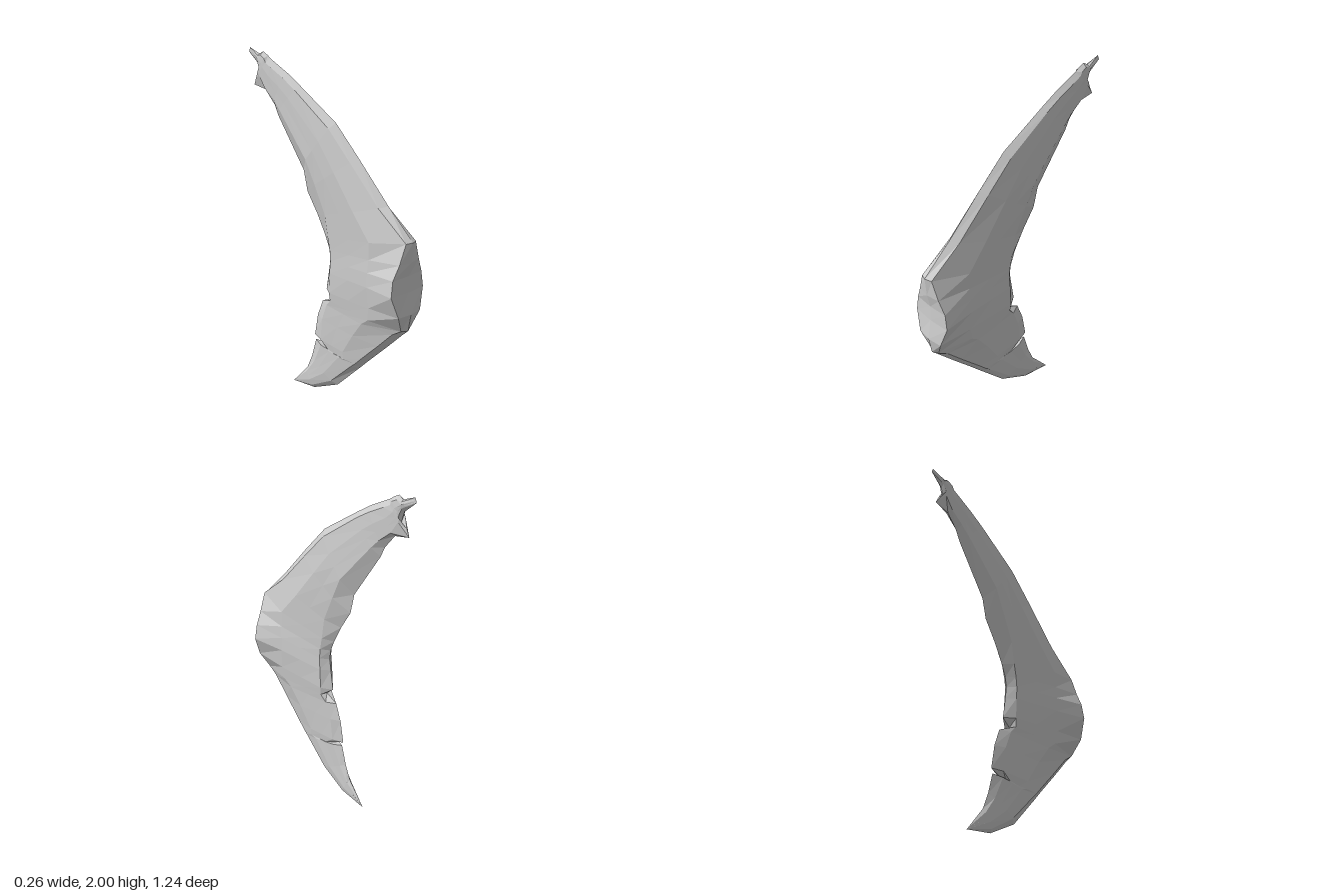
import * as THREE from 'three';

const material = new THREE.MeshStandardMaterial({ color: 0xcccccc, flatShading: true });

// Each section: outer z, outer y, inner z, inner y, rim inset, inner bevel depth,
// then half-widths at the rim, the middle and the inner bevel.
const upper = [
  [-0.61, 2.0, -0.62, 1.975, 0, 0, 0, 0, 0],
  [-0.53, 1.97, -0.54, 1.91, 0.01, 0.02, 0.015, 0.02, 0.015],
  [-0.5, 1.985, -0.52, 1.85, 0.02, 0.03, 0.02, 0.024, 0.02],
  [-0.46, 1.965, -0.56, 1.83, 0.02, 0.06, 0.022, 0.025, 0.022],
  [-0.44, 1.95, -0.58, 1.79, 0.03, 0.09, 0.022, 0.026, 0.022],
  [-0.4, 1.93, -0.48, 1.77, 0.03, 0.02, 0.024, 0.027, 0.024],
  [-0.3, 1.88, -0.41, 1.69, 0.03, 0.04, 0.025, 0.03, 0.027],
  [-0.2, 1.82, -0.38, 1.63, 0.03, 0.06, 0.027, 0.033, 0.032],
  [0.07, 1.65, -0.18, 1.35, 0.04, 0.1, 0.033, 0.046, 0.05],
  [0.24, 1.48, -0.15, 1.23, 0.04, 0.12, 0.036, 0.056, 0.046],
  [0.45, 1.26, -0.07, 1.11, 0.04, 0.1, 0.038, 0.068, 0.043],
  [0.62, 1.1, -0.01, 1.0, 0.015, 0.06, 0.04, 0.078, 0.042],
];
const middle = [
  upper[upper.length - 1],
  [0.612, 0.99, 0.02, 0.93, 0.015, 0.045, 0.08, 0.079, 0.042],
  [0.595, 0.91, 0.03, 0.87, 0.008, 0.04, 0.118, 0.085, 0.043],
  [0.6, 0.82, 0.02, 0.8, 0.01, 0.045, 0.132, 0.088, 0.045],
  [0.62, 0.7, 0.0, 0.68, 0.012, 0.06, 0.09, 0.08, 0.044],
  [0.603, 0.6, 0.055, 0.635, 0.02, 0.01, 0.035, 0.072, 0.04],
];
const lower = [
  middle[middle.length - 1],
  [0.56, 0.56, -0.03, 0.6, 0.04, 0.06, 0.034, 0.064, 0.032],
  [0.46, 0.46, -0.07, 0.5, 0.04, 0.06, 0.032, 0.052, 0.028],
  [0.33, 0.335, -0.095, 0.365, 0.04, 0.07, 0.03, 0.04, 0.025],
  [0.29, 0.295, 0.03, 0.312, 0.04, 0.01, 0.029, 0.036, 0.025],
  [0.26, 0.265, -0.085, 0.338, 0.04, 0.06, 0.028, 0.034, 0.023],
  [0.09, 0.1, -0.12, 0.22, 0.04, 0.04, 0.022, 0.028, 0.018],
  [-0.1, 0.015, -0.16, 0.13, 0.02, 0.02, 0.015, 0.021, 0.015],
  [-0.28, 0, -0.275, 0.004, 0, 0, 0, 0, 0],
];

// Mirrored ten-sided ring running from the outer ridge to the inner ridge and back
function ring([oz, oy, iz, iy, inset, bevel, rim, mid, inner]) {
  const length = Math.hypot(oz - iz, oy - iy);
  const t0 = inset / length, t1 = 1 - bevel / length;
  const stations = [
    [0, 0], [t0, rim], [t0 + (t1 - t0) * 0.4, mid],
    [t0 + (t1 - t0) * 0.7, (mid + inner) / 2], [t1, inner], [1, 0],
  ];
  const point = ([t, x], side) =>
    [side * x, THREE.MathUtils.lerp(oy, iy, t), THREE.MathUtils.lerp(oz, iz, t)];
  return [
    ...stations.map((s) => point(s, 1)),
    ...stations.slice(1, 5).reverse().map((s) => point(s, -1)),
  ];
}

function loft(name, sections) {
  const rings = sections.map(ring);
  const n = rings[0].length;
  const index = [];
  for (let i = 0; i < rings.length - 1; i++) {
    for (let j = 0; j < n; j++) {
      const a = i * n + j, b = i * n + (j + 1) % n;
      index.push(a, a + n, b, b, a + n, b + n);
    }
  }
  const geometry = new THREE.BufferGeometry();
  geometry.setAttribute('position', new THREE.Float32BufferAttribute(rings.flat(2), 3));
  geometry.setIndex(index);
  geometry.computeVertexNormals();
  const mesh = new THREE.Mesh(geometry, material);
  mesh.name = name;
  return mesh;
}

export function createModel() {
  const group = new THREE.Group();
  group.name = 'crescent';
  group.add(
    loft('upperHorn', upper),       // long swept horn with a notched tip
    loft('frontBulge', middle),     // widened body with the oval front face
    loft('lowerHorn', lower),       // short lower horn with slit and point
  );
  return group;
}
